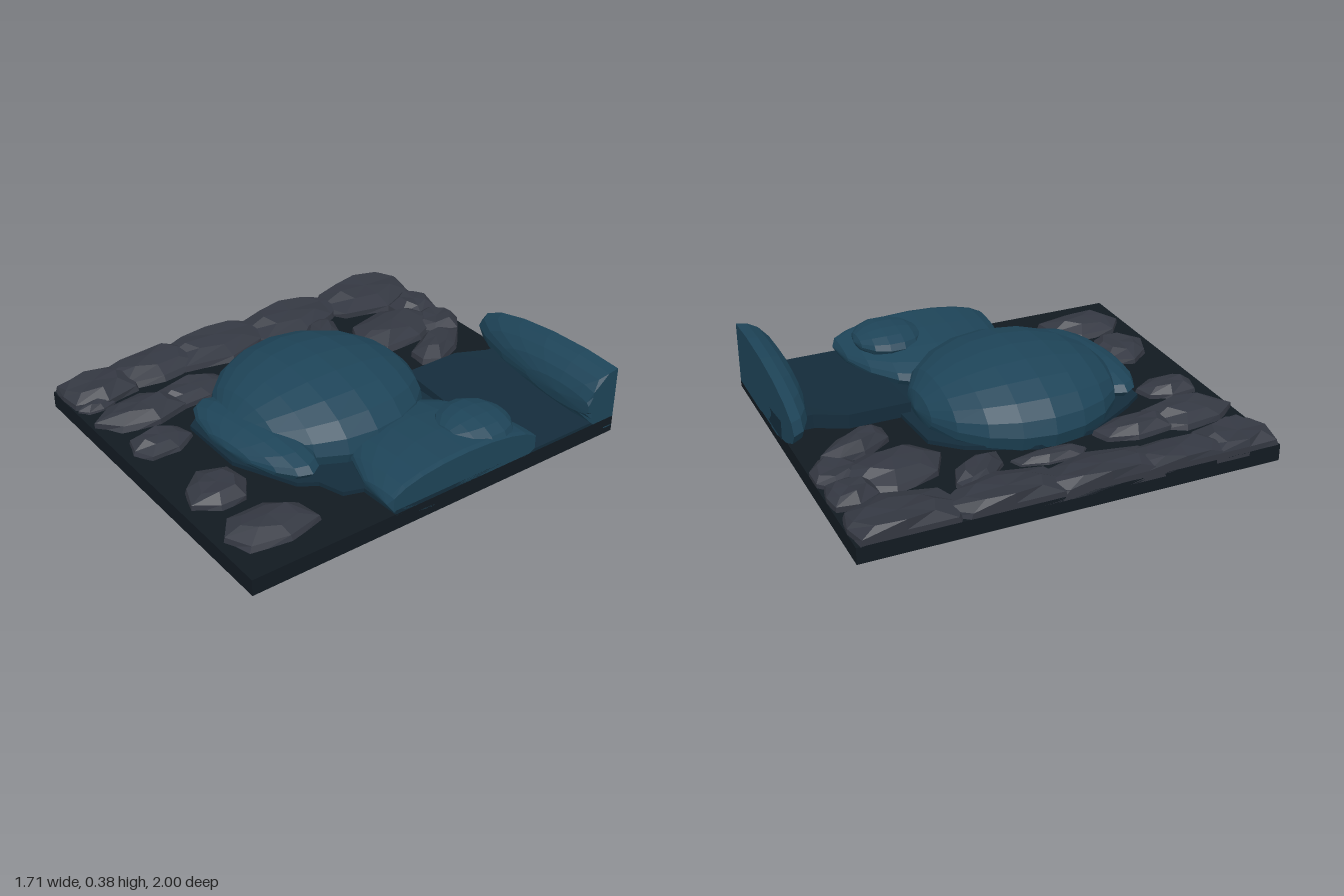
import * as THREE from 'three';

const X = 0.855, Z = 1, BASE = 0.08;

function material(color) {
  return new THREE.MeshStandardMaterial({ color, flatShading: true, side: THREE.DoubleSide });
}

// Move every vertex by a rule, then keep it inside the tile
function shape(geometry, rule) {
  const p = geometry.attributes.position, v = new THREE.Vector3();
  for (let i = 0; i < p.count; i++) {
    rule(v.fromBufferAttribute(p, i));
    p.setXYZ(i, THREE.MathUtils.clamp(v.x, -X, X), Math.max(v.y, 0.03), THREE.MathUtils.clamp(v.z, -Z, Z));
  }
  geometry.computeVertexNormals();
  return geometry;
}

export function createModel() {
  const group = new THREE.Group();
  const stone = material(0x343842), shell = material(0x1e4458);
  const sheet = material(0x142c3b), ground = material(0x121a21);

  function add(name, geometry, mat) {
    const mesh = new THREE.Mesh(geometry, mat);
    mesh.name = name;
    group.add(mesh);
    return mesh;
  }

  // Flattened ellipsoid whose poles lie along z
  function dome(name, [x, y, z], [rx, ry, rz], segments, turn = 0) {
    const g = new THREE.SphereGeometry(1, segments, segments / 2);
    g.rotateX(Math.PI / 2).scale(rx, ry, rz).rotateY(turn).translate(x, y, z);
    return add(name, shape(g, () => {}), shell);
  }

  // Faceted stone: a low prism with chamfered top and uneven rim
  function rock(x, z, rx, rz, top, turn = 0, sides = 7) {
    const g = new THREE.CylinderGeometry(0.55, 1, 1, sides, 2);
    const seed = x * 7 + z * 13;
    shape2(g, seed);
    g.scale(rx, top - BASE + 0.02, rz).rotateY(turn).translate(x, BASE - 0.02, z);
    add('rock', shape(g, () => {}), stone);
  }

  function shape2(g, seed) {
    const p = g.attributes.position;
    for (let i = 0; i < p.count; i++) {
      const px = p.getX(i), py = p.getY(i), pz = p.getZ(i);
      const level = py + 0.5;
      const wobble = 1 + 0.1 * Math.sin(px * 5 + pz * 3 + seed);
      // The middle ring stays wide so that the sides are steep
      const widen = Math.abs(py) < 0.1 ? 1.2 : 1;
      const tilt = level > 0.9 ? 0.12 * Math.sin(px * 4 - pz * 3 + seed) - 0.1 : 0;
      p.setXYZ(i, px * wobble * widen, level + tilt, pz * wobble * widen);
    }
  }

  // Ground slab
  add('base', new THREE.BoxGeometry(X * 2, BASE, Z * 2).translate(0, BASE / 2, 0), ground);

  // Low sheet around the large dome
  const outline = new THREE.Shape([
    [0.08, -0.45], [-0.2, -0.43], [-0.32, -0.3], [-0.45, 0], [-0.42, 0.3], [-0.27, 0.55],
    [-0.2, 0.64], [0.15, 0.64], [0.45, 0.5], [0.5, 0.42], [0.62, 0.38], [0.65, 0.29], [X, 0.28], [X, -0.45],
  ].map(([x, z]) => new THREE.Vector2(x, -z)));
  const low = new THREE.ExtrudeGeometry(outline, { depth: 0.03, bevelEnabled: false });
  add('lowerSheet', low.rotateX(-Math.PI / 2).translate(0, 0.07, 0), sheet);

  // Sheet behind it, rising gently away from the open side
  const back = new THREE.BoxGeometry(X - 0.08, 0.1, 0.6, 4, 1, 4).translate((X + 0.08) / 2, 0.1, -0.7);
  add('backSheet', shape(back, (v) => {
    if (v.y > 0.1) v.y = 0.095 + 0.055 * (X - v.x) / (X - 0.08);
    if (v.x < 0.1 && v.z < -0.8) v.x += 0.07;
  }), sheet);

  // Domes, the outer ones cut flat at the tile edges
  dome('largeDome', [0.01, 0.15, 0.08], [0.485, 0.235, 0.49], 20);
  dome('frontLobe', [0.12, 0.16, 0.5], [0.39, 0.08, 0.155], 16, 0.12);
  dome('sideMound', [0.83, 0.13, -0.11], [0.6, 0.115, 0.42], 20);
  dome('smallDome', [0.67, 0.215, -0.3], [0.185, 0.07, 0.17], 14);
  dome('backDome', [0.66, 0.175, -1], [0.72, 0.17, 0.175], 20);

  // Continuous bank of stones along one side
  for (const [x, z, rx, rz] of [
    [-0.75, -0.78, 0.2, 0.32], [-0.76, -0.3, 0.18, 0.32], [-0.77, 0.15, 0.18, 0.34],
    [-0.78, 0.52, 0.17, 0.3], [-0.75, 0.84, 0.17, 0.24],
  ]) rock(x, z, rx, rz, 0.155, 0, 8);

  // Loose stones: x, z, half width, half depth, top, turn
  for (const r of [
    [-0.49, -0.9, 0.12, 0.14, 0.155, 0.4], [-0.36, -0.66, 0.18, 0.27, 0.155, 0.1],
    [-0.3, -0.9, 0.13, 0.15, 0.14, 0], [-0.1, -0.73, 0.1, 0.2, 0.155, 0.5],
    [-0.53, -0.33, 0.09, 0.18, 0.14, 0.7], [-0.53, 0.02, 0.07, 0.2, 0.12, 0],
    [-0.46, 0.48, 0.11, 0.22, 0.145, 0.1], [-0.44, 0.76, 0.14, 0.24, 0.155, -0.1],
    [-0.62, 0.9, 0.06, 0.1, 0.12, 0], [-0.18, 0.81, 0.11, 0.16, 0.14, 0.1],
    [0.28, 0.8, 0.15, 0.16, 0.15, 0.3], [0.61, 0.76, 0.15, 0.23, 0.15, -0.1],
  ]) rock(...r);

  return group;
}
